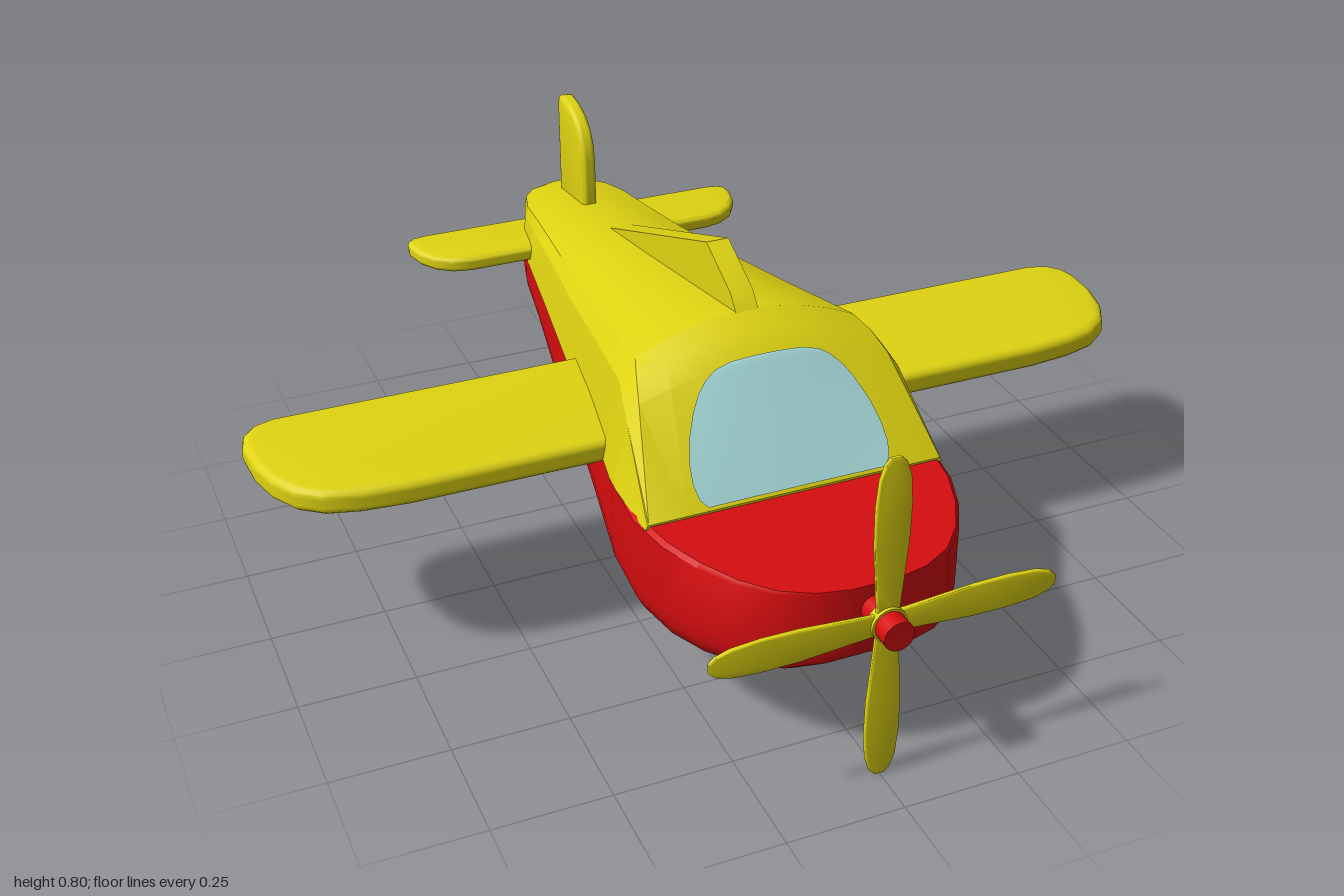
import * as THREE from 'three';
import { toCreasedNormals } from 'three/addons/utils/BufferGeometryUtils.js';

const paint = (name, color, side = THREE.FrontSide) => {
  const m = new THREE.MeshStandardMaterial({ color, side });
  m.name = name;
  return m;
};

// Piecewise linear lookup in a table of [z, value, ...] rows with falling z
function at(table, z, k = 1) {
  for (let i = 1; i < table.length; i++) {
    const a = table[i - 1], b = table[i];
    if (z >= b[0]) return THREE.MathUtils.lerp(b[k], a[k], Math.min(1, (z - b[0]) / (a[0] - b[0])));
  }
  return table[table.length - 1][k];
}

// Closed skin over half sections (top centre to bottom centre), mirrored in x, front to back
function loft(halves, crease) {
  const rings = halves.map(h => [...h, ...h.slice(1, -1).reverse().map(([x, y, z]) => [-x, y, z])]);
  const n = rings[0].length, last = (rings.length - 1) * n, index = [];
  for (let i = 0; i < rings.length - 1; i++) {
    for (let j = 0; j < n; j++) {
      const a = i * n + j, b = i * n + (j + 1) % n;
      index.push(a, b, a + n, b, b + n, a + n);
    }
  }
  for (let j = 1; j < n - 1; j++) index.push(0, j + 1, j, last, last + j, last + j + 1);
  const g = new THREE.BufferGeometry();
  g.setAttribute('position', new THREE.Float32BufferAttribute(rings.flat(2), 3));
  g.setIndex(index);
  return toCreasedNormals(g, crease);
}

// Bevelled plate of a given total thickness, centred on its own plane
function plate(points, thickness, bevel) {
  const shape = new THREE.Shape(points.map(p => new THREE.Vector2(...p)));
  const depth = thickness - 2 * bevel;
  const g = new THREE.ExtrudeGeometry(shape, {
    depth, bevelEnabled: bevel > 0, bevelThickness: bevel, bevelSize: bevel, bevelOffset: -bevel, bevelSegments: 3,
  });
  g.translate(0, 0, -depth / 2);
  return toCreasedNormals(g, 0.6);
}

// Full-span horizontal plate from a half outline of [x, z] points
const span = (half, thickness, bevel) => {
  const pts = half.map(([x, z]) => [x, -z]);
  return plate([...pts, ...pts.map(([x, y]) => [-x, y]).reverse()], thickness, bevel).rotateX(-Math.PI / 2);
};
// Upright plate on the centre line from [z, y] points
const upright = (pts, thickness, bevel) => plate(pts, thickness, bevel).rotateY(-Math.PI / 2);

const DECK = 0.425;
// z, half width, keel height
const HULL = [
  [0.84, 0.05, 0.28], [0.825, 0.12, 0.255], [0.79, 0.185, 0.235], [0.73, 0.24, 0.212], [0.65, 0.285, 0.195],
  [0.56, 0.318, 0.185], [0.45, 0.336, 0.18], [0.3, 0.326, 0.181], [0, 0.27, 0.2], [-0.3, 0.225, 0.236],
  [-0.62, 0.172, 0.29], [-0.75, 0.155, 0.32], [-0.85, 0.13, 0.345], [-0.91, 0.085, 0.365], [-0.94, 0.03, 0.385],
];
// z, shoulder half width, crown height, shoulder height
const CABIN = [
  [0.5, 0.322, 0.43, 0.429], [0.34, 0.277, 0.655, 0.607], [0.29, 0.262, 0.692, 0.638], [0.24, 0.245, 0.715, 0.655],
  [0, 0.219, 0.672, 0.616], [-0.25, 0.19, 0.628, 0.58], [-0.5, 0.158, 0.586, 0.553], [-0.68, 0.138, 0.56, 0.538],
  [-0.8, 0.127, 0.545, 0.528], [-0.87, 0.108, 0.536, 0.523], [-0.91, 0.078, 0.53, 0.521], [-0.94, 0.025, 0.52, 0.517],
];
const roofY = (x, z) => {
  const u = x / at(CABIN, z, 1);
  return THREE.MathUtils.lerp(at(CABIN, z, 2), at(CABIN, z, 3), u * u);
};

export function createModel() {
  const model = new THREE.Group();
  const yellow = paint('yellow', 0xdfd411);
  const red = paint('red', 0xd60d0f);
  const glass = paint('pale blue glass', 0xaadede, THREE.DoubleSide);
  const add = (name, geometry, material, parent = model) => {
    const mesh = new THREE.Mesh(geometry, material);
    mesh.name = name;
    parent.add(mesh);
    return mesh;
  };

  // Boat-like lower hull: flat deck, rounded bilge
  const bilge = [[0, 1], [0.97, 1], [1, 0.96], [1, 0.36], [0.985, 0.2], [0.94, 0.08], [0.87, 0.02], [0.78, 0], [0, 0]];
  add('hull', loft(HULL.map(([z, w, keel]) =>
    bilge.map(([x, y]) => [x * w, THREE.MathUtils.lerp(keel, DECK, y), z])), 0.7), red);

  // Upper body with sloped windshield and tapering back
  add('upperBody', loft(CABIN.map(([z, s, , shoulder]) => {
    const base = at(HULL, z);
    const half = [0, 0.25, 0.5, 0.75, 1].map(u => [u * s, roofY(u * s, z), z]);
    half.push([s + (base - s) * 0.5, THREE.MathUtils.lerp(DECK, shoulder, 0.8), z]);
    half.push([base + 0.002, DECK - 0.006, z], [0, DECK - 0.006, z]);
    return half;
  }), 0.4), yellow);

  // Windshield pane, a thin skin following the slope
  const pane = [
    [0.496, 0.195], [0.485, 0.21], [0.465, 0.216], [0.44, 0.213], [0.41, 0.201], [0.38, 0.18],
    [0.36, 0.16], [0.347, 0.138], [0.339, 0.115], [0.334, 0.08],
  ];
  const cols = 16, pos = [], idx = [];
  pane.forEach(([z, w], i) => {
    for (let j = 0; j <= cols; j++) {
      const x = w * (2 * j / cols - 1);
      pos.push(x, roofY(x, z) + 0.005, z + 0.006);
      if (i && j) {
        const d = i * (cols + 1) + j, b = d - cols - 1;
        idx.push(b - 1, b, d - 1, b, d, d - 1);
      }
    }
  });
  const paneGeo = new THREE.BufferGeometry();
  paneGeo.setAttribute('position', new THREE.Float32BufferAttribute(pos, 3));
  paneGeo.setIndex(idx);
  paneGeo.computeVertexNormals();
  add('windshield', paneGeo, glass);

  // Main wing and tailplane
  add('wing', span([
    [0.2, 0.222], [0.72, 0.222], [0.82, 0.212], [0.89, 0.193], [0.94, 0.155], [0.975, 0.095],
    [0.995, 0.02], [1, -0.06], [0.99, -0.1], [0.965, -0.13], [0.92, -0.145], [0.2, -0.145],
  ], 0.055, 0.018), yellow).position.y = 0.436;
  add('tailplane', span([
    [0.05, -0.69], [0.31, -0.69], [0.355, -0.7], [0.392, -0.727], [0.418, -0.77],
    [0.43, -0.82], [0.427, -0.845], [0.41, -0.86], [0.38, -0.865], [0.05, -0.865],
  ], 0.036, 0.012), yellow).position.y = 0.452;

  // Upright fins
  add('dorsalFin', upright([
    [0.25, 0.6], [0.25, 0.705], [0.215, 0.745], [0.09, 0.805], [-0.5, 0.582], [-0.5, 0.54],
  ], 0.05, 0), yellow);
  add('tailFin', upright([
    [-0.69, 0.5], [-0.69, 0.67], [-0.698, 0.71], [-0.718, 0.745], [-0.75, 0.77], [-0.795, 0.785],
    [-0.84, 0.79], [-0.858, 0.785], [-0.866, 0.765], [-0.868, 0.5],
  ], 0.036, 0.012), yellow);

  // Four-blade propeller on a red shaft
  const propeller = new THREE.Group();
  propeller.name = 'propeller';
  propeller.position.set(0, 0.37, 0.89);
  model.add(propeller);
  const edge = [[0.022, 0], [0.028, 0.08], [0.036, 0.18], [0.037, 0.26], [0.032, 0.32], [0.022, 0.35], [0.01, 0.363]];
  const bladeGeo = plate([...edge, ...edge.map(([x, y]) => [-x, y]).reverse()], 0.01, 0.003);
  for (let i = 0; i < 4; i++) add('blade', bladeGeo, yellow, propeller).rotation.z = i * Math.PI / 2;
  const disc = (r, len) => new THREE.CylinderGeometry(r, r, len, 20).rotateX(Math.PI / 2);
  add('collar', disc(0.037, 0.024), yellow, propeller);
  add('shaft', disc(0.029, 0.13), red, propeller).position.z = -0.02;
  add('noseCap', disc(0.032, 0.04), red, propeller).position.z = 0.03;

  return model;
}
